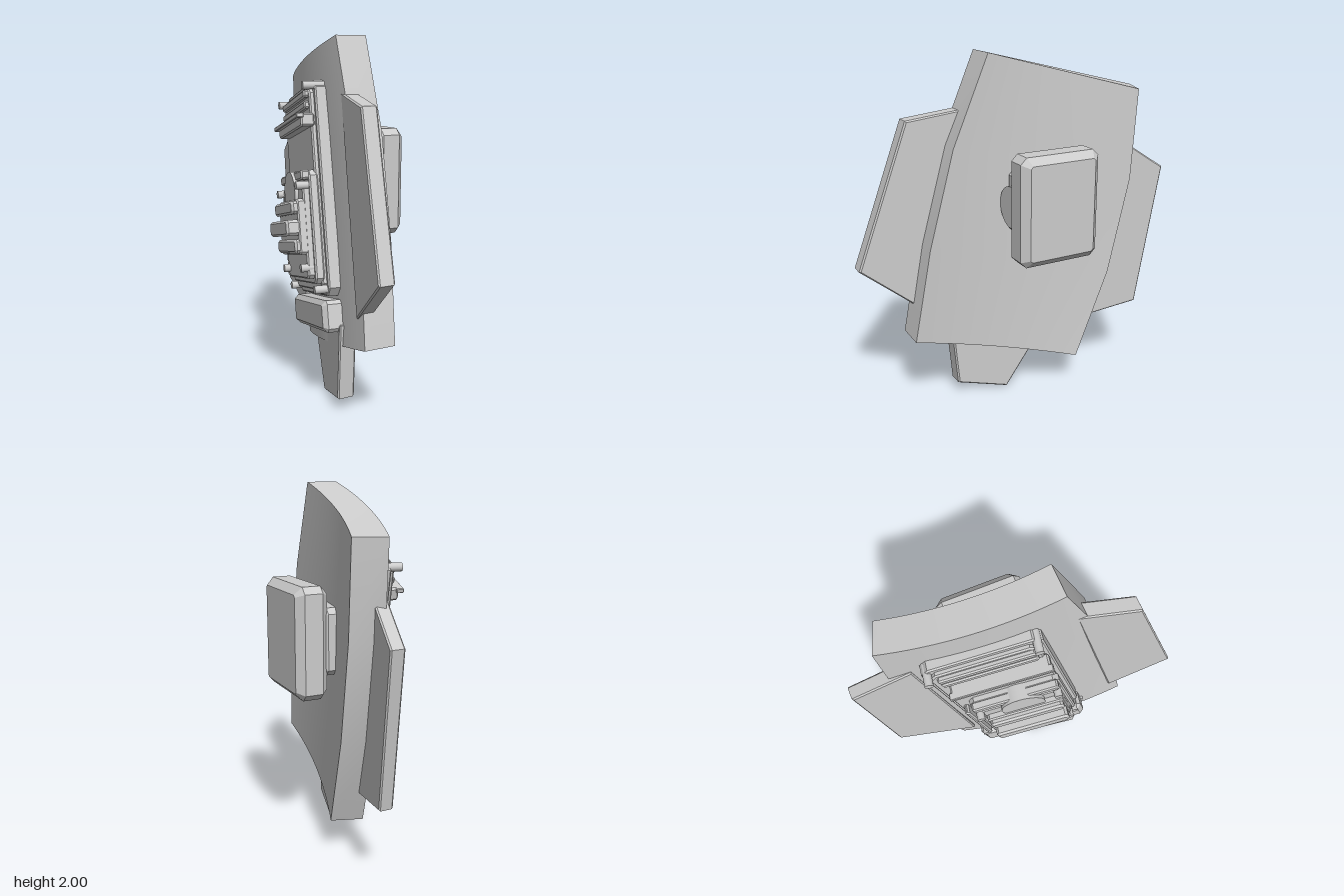
import * as THREE from 'three';
import { mergeGeometries } from 'three/addons/utils/BufferGeometryUtils.js';

const grey = new THREE.MeshStandardMaterial({ color: 0xcccccc });
grey.name = 'light grey';

function add(parent, name, geometry) {
  const mesh = new THREE.Mesh(geometry, grey);
  mesh.name = name;
  parent.add(mesh);
  return mesh;
}

// Extruded outline between depths d0 and d1, with a chamfer b on all rims
function prism(points, d0, d1, b) {
  const shape = new THREE.Shape(points.map(([x, y]) => new THREE.Vector2(x, y)));
  const g = new THREE.ExtrudeGeometry(shape, {
    depth: d1 - d0 - 2 * b, bevelEnabled: b > 0, bevelThickness: b,
    bevelSize: b, bevelOffset: -b, bevelSegments: 1,
  });
  return g.translate(0, 0, d0 + b);
}

// Rectangle x0..x1, y0..y1 with cut corners c
function cutRect(x0, x1, y0, y1, c) {
  return [[x0 + c, y0], [x1 - c, y0], [x1, y0 + c], [x1, y1 - c],
    [x1 - c, y1], [x0 + c, y1], [x0, y1 - c], [x0, y0 + c]];
}

// Slab outlined in (z, y), facing x, leaning by slope along z
function sidePlate(outline, thickness, x0, z0, slope, bevel) {
  const g = prism(outline.map(([z, y]) => [-z, y]), -thickness / 2, thickness / 2, bevel);
  g.rotateY(Math.PI / 2);
  const p = g.attributes.position;
  for (let i = 0; i < p.count; i++) p.setX(i, p.getX(i) + x0 + slope * (p.getZ(i) - z0));
  g.computeVertexNormals();
  return g;
}

// Smooth grid surface; u runs right and w runs up as seen from outside
function surface(f, nu, nw) {
  const pos = [], idx = [];
  for (let j = 0; j <= nw; j++) {
    for (let i = 0; i <= nu; i++) pos.push(...f(i / nu, j / nw));
  }
  for (let j = 0; j < nw; j++) {
    for (let i = 0; i < nu; i++) {
      const a = j * (nu + 1) + i, d = a + nu + 1;
      idx.push(a, a + 1, d + 1, a, d + 1, d);
    }
  }
  const g = new THREE.BufferGeometry();
  g.setAttribute('position', new THREE.Float32BufferAttribute(pos, 3));
  g.setIndex(idx);
  g.computeVertexNormals();
  return g;
}

// Curved main panel: rows of front z, front y, back z, back y, front x, x rise
const rows = [
  [0.21, 2.0, -0.63, 1.775, 0.075, 0.155],
  [0.41, 1.52, -0.6, 1.27, 0.06, 0.168],
  [0.55, 0.98, -0.485, 0.72, 0.04, 0.17],
  [0.645, 0.445, -0.3, 0.2, 0.015, 0.165],
];
function panelPoint(t, v, s) {
  const k = Math.min(2, Math.floor(v * 3 + 1e-6)), f = v * 3 - k;
  const [zf, yf, zb, yb, x0, rise] = rows[k].map((a, i) => a + (rows[k + 1][i] - a) * f);
  const lean = Math.atan(2 * rise * t / (zf - zb)), thick = 0.177 * s;
  return [x0 + rise * t * t - thick * Math.cos(lean), yf + (yb - yf) * t,
    zf + (zb - zf) * t - thick * Math.sin(lean)];
}
function panelGeometry() {
  const n = 16, m = 3, P = panelPoint;
  return mergeGeometries([
    surface((u, w) => P(u, 1 - w, 0), n, m),
    surface((u, w) => P(1 - u, 1 - w, 1), n, m),
    surface((u, w) => P(0, 1 - w, 1 - u), 1, m),
    surface((u, w) => P(1, 1 - w, u), 1, m),
    surface((u, w) => P(w, 0, 1 - u), 1, n),
    surface((u, w) => P(1 - w, 1, 1 - u), 1, n),
  ]);
}

export function createModel() {
  const model = new THREE.Group();
  model.name = 'armourPanel';
  add(model, 'mainPanel', panelGeometry());

  // Flat wings tucked behind the main panel
  add(model, 'frontWing', sidePlate(
    [[0.28, 1.71], [0.61, 1.66], [0.89, 0.855], [0.56, 0.59]], 0.09, -0.13, 0.61, -0.2, 0.008));
  add(model, 'backWing', sidePlate(
    [[-0.55, 1.515], [-0.885, 1.29], [-0.755, 0.44], [-0.29, 0.36]], 0.08, 0.12, -0.885, -0.2, 0.008));
  add(model, 'lowerWing', sidePlate(
    [[0.395, 0.5], [0.36, 0.07], [0.07, 0], [-0.17, 0.4], [-0.17, 0.5]], 0.1, -0.115, 0.36, -0.217, 0.008));

  // Outer pad and its mount
  const pad = new THREE.Group();
  pad.name = 'outerPad';
  model.add(pad);
  pad.rotation.y = Math.PI / 2;
  add(pad, 'padBlock', prism(cutRect(-0.16, 0.31, 0.9, 1.5, 0.035), 0.185, 0.365, 0.04));
  add(pad, 'padMount', prism(cutRect(-0.1, 0.29, 1.02, 1.38, 0.03), 0.07, 0.2, 0.015));
  const hinge = add(model, 'padHinge', new THREE.CylinderGeometry(0.115, 0.115, 0.25, 32));
  hinge.rotation.x = Math.PI / 2;
  hinge.position.set(0.185, 1.2, 0.02);

  // Inner mechanism: local x across, y along the panel, z away from it
  const inner = new THREE.Group();
  inner.name = 'innerMechanism';
  const across = new THREE.Vector3(-0.17, 0.23, 0.955).normalize();
  const out = across.clone().cross(new THREE.Vector3(0.04, 0.97, -0.24)).normalize();
  const along = out.clone().cross(across);
  inner.quaternion.setFromRotationMatrix(new THREE.Matrix4().makeBasis(across, along, out));
  inner.position.set(-0.085, 1.12, -0.05);
  model.add(inner);

  const block = (name, x0, x1, y0, y1, z0, z1, cut = 0.01, bevel = 0.008) =>
    add(inner, name, prism(cutRect(x0, x1, y0, y1, cut), z0, z1, bevel));

  block('basePlate', -0.34, 0.28, -0.55, 0.61, -0.08, 0.05, 0.045);
  block('raisedPlate', -0.31, 0.25, -0.52, 0.58, 0.04, 0.075, 0.04);

  // Upper ribs and the projecting ledge
  for (const y of [0.54, 0.48]) block('upperRib', -0.27, 0.23, y - 0.02, y + 0.02, 0.06, 0.1);
  block('ledge', -0.25, 0.27, 0.36, 0.43, 0.06, 0.135);
  block('ledgeCap', -0.26, 0.28, 0.405, 0.43, 0.12, 0.16, 0.004, 0.004);

  // Central housing with a partly sunk disc
  block('housing', -0.24, 0.26, -0.48, 0.13, 0.06, 0.11, 0.03);
  block('housingStep', -0.2, 0.24, -0.45, 0.06, 0.1, 0.145, 0.02);
  block('housingTopBar', -0.23, 0.25, 0.08, 0.13, 0.1, 0.15);
  for (const x of [-0.275, -0.23]) block('sideRail', x - 0.013, x + 0.013, -0.45, 0.05, 0.06, 0.13);
  const disc = add(inner, 'disc', new THREE.CylinderGeometry(0.12, 0.12, 0.1, 32));
  disc.rotation.x = Math.PI / 2;
  disc.position.set(0.03, 0.02, 0.115);

  // Stacked bars on the housing
  block('stackBase', -0.19, 0.24, -0.32, -0.02, 0.13, 0.18, 0.015);
  const bars = [[-0.1, -0.03, 0.21], [-0.215, -0.13, 0.245], [-0.31, -0.235, 0.205]];
  for (const [y0, y1, top] of bars) block('stackBar', -0.18, 0.235, y0, y1, 0.16, top, 0.015, 0.012);

  // Wedge box at the lower end
  block('lowerBox', -0.36, 0.28, -0.74, -0.57, -0.08, 0.09, 0.02, 0.025);

  // Pins at the corners and beside the stack
  const pins = [[-0.31, 0.57, 0.11], [0.25, 0.58, 0.11], [-0.31, -0.51, 0.11], [0.24, -0.51, 0.12],
    [-0.17, -0.4, 0.18], [0.22, -0.39, 0.18], [-0.21, 0.03, 0.18], [0.23, 0.05, 0.18]];
  for (const [x, y, top] of pins) {
    const pin = add(inner, 'pin', new THREE.CylinderGeometry(0.022, 0.022, 0.12, 16));
    pin.rotation.x = Math.PI / 2;
    pin.position.set(x, y, top - 0.06);
  }
  return model;
}
